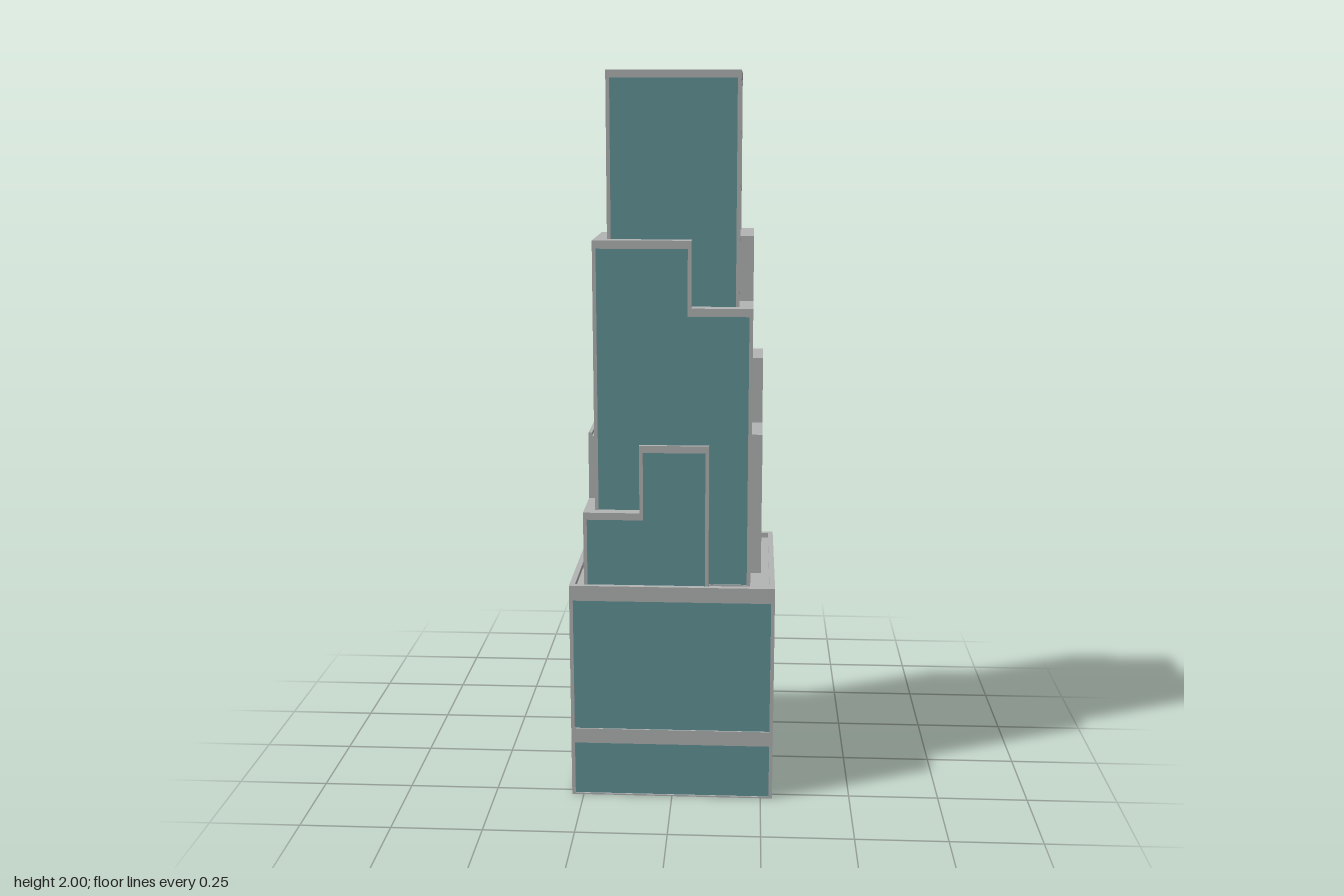
import * as THREE from 'three';

const glass = new THREE.MeshStandardMaterial({ color: 0x629598 });
glass.name = 'teal glass';
const stone = new THREE.MeshStandardMaterial({ color: 0xb2b3b3 });
stone.name = 'grey trim';

const EDGE = 0.01; // width and depth of the trim

export function createModel() {
  const tower = new THREE.Group();
  tower.name = 'steppedTower';

  function add(parent, name, geometry, material) {
    const mesh = new THREE.Mesh(geometry, material);
    mesh.name = name;
    parent.add(mesh);
    return mesh;
  }

  function block(name, x0, x1, y0, y1, z0, z1, material = stone) {
    const g = new THREE.BoxGeometry(x1 - x0, y1 - y0, z1 - z0);
    g.translate((x0 + x1) / 2, (y0 + y1) / 2, (z0 + z1) / 2);
    return add(tower, name, g, material);
  }

  // Outline with one step in its top edge: hL left of us, hR right of it
  function outline({ u0, u1, us, hL, hR, y0 }) {
    const pts = [[u0, y0], [u1, y0], [u1, hR]];
    if (hL !== hR) pts.push([us, hR], [us, hL]);
    pts.push([u0, hL]);
    return pts.map(([x, y]) => new THREE.Vector2(x, y));
  }

  function inset(o, band) {
    return {
      u0: o.u0 + EDGE, u1: o.u1 - EDGE, us: o.us + (o.hL > o.hR ? -EDGE : EDGE),
      hL: o.hL - band, hR: o.hR - band, y0: o.y0 + 0.004,
    };
  }

  // Grey frame with recessed glass; quarter turns 0..3 = front, +x side, back, -x side
  function facade(name, turn, distance, o, panels) {
    const group = new THREE.Group();
    group.name = name;
    group.rotation.y = turn * Math.PI / 2;
    const frame = new THREE.Shape(outline(o));
    for (const p of panels) {
      const pts = outline(p);
      frame.holes.push(new THREE.Path(pts));
      const pane = new THREE.ExtrudeGeometry(new THREE.Shape(pts), { depth: 0.006, bevelEnabled: false });
      add(group, 'glassPanel', pane, glass).position.z = distance - EDGE;
    }
    const g = new THREE.ExtrudeGeometry(frame, { depth: EDGE, bevelEnabled: false });
    add(group, 'trimFrame', g, stone).position.z = distance - EDGE;
    tower.add(group);
  }

  const flat = (w, y0, h) => ({ u0: -w, u1: w, us: 0, hL: h, hR: h, y0 });

  // Raised square rim around a roof
  function rim(name, x, z, width, y0, y1) {
    for (const s of [-1, 1]) {
      const a = s * x, b = s * (x - width), c = s * z, d = s * (z - width);
      block(name, Math.min(a, b), Math.max(a, b), y0, y1, -z, z);
      block(name, -x, x, y0, y1, Math.min(c, d), Math.max(c, d));
    }
  }

  // Base with two rows of glass
  const bx = 0.283, bz = 0.277;
  block('baseBody', -bx + EDGE, bx - EDGE, 0, 0.605, -bz + EDGE, bz - EDGE);
  rim('baseRim', bx, bz, 0.015, 0.58, 0.62);
  for (let t = 0; t < 4; t++) {
    const w = t % 2 ? bz : bx;
    const row = (y0, h) => flat(w - EDGE, y0, h);
    facade('baseFacade', t, t % 2 ? bx : bz, flat(w, 0, 0.62), [row(0.004, 0.157), row(0.2, 0.577)]);
  }

  // Middle tier: high at two opposite corners, low at the other two
  const m = 0.215, mi = m - EDGE;
  block('middleBody', -mi, mi, 0.6, 1.38, -mi, mi);
  block('middleHighCorner', -mi, 0.05, 1.3, 1.56, -0.05, mi);
  block('middleHighCorner', -0.05, mi, 1.3, 1.56, -mi, 0.05);
  for (let t = 0; t < 4; t++) {
    const o = t % 2
      ? { u0: -m, u1: m, us: -0.05, hL: 1.38, hR: 1.56, y0: 0.605 }
      : { u0: -m, u1: m, us: 0.05, hL: 1.56, hR: 1.38, y0: 0.605 };
    facade('middleFacade', t, m, o, [inset(o, 0.022)]);
  }

  // Lower wings wrapped around two opposite corners
  const w = 0.245, wi = w - EDGE;
  block('lowWingCorner', -wi, -0.08, 0.6, 0.82, 0.09, wi);
  block('lowWingFront', -0.09, 0.1, 0.6, 1.0, 0.2, wi);
  block('lowWingSide', -wi, -0.2, 0.6, 1.0, -0.1, 0.09);
  block('highWingCorner', 0, wi, 0.6, 1.2, -wi, -0.07);
  block('highWingBack', -0.095, 0.01, 0.6, 1.01, -wi, -0.2);
  block('highWingSide', 0.2, wi, 0.6, 1.01, -0.08, 0.092);
  const wings = [
    { u0: -w, u1: 0.1, us: -0.09, hL: 0.82, hR: 1.01, y0: 0.605 },
    { u0: -0.092, u1: w, us: 0.07, hL: 1.01, hR: 1.2, y0: 0.605 },
    { u0: -w, u1: 0.095, us: 0, hL: 1.2, hR: 1.01, y0: 0.605 },
    { u0: -0.1, u1: w, us: 0.09, hL: 1.01, hR: 0.82, y0: 0.605 },
  ];
  wings.forEach((o, t) => facade('wingFacade', t, w, o, [inset(o, 0.02)]));

  // Top shaft with a sunken glass roof
  const s = 0.178, si = s - EDGE;
  block('topBody', -si, si, 1.3, 1.98, -si, si);
  block('roofGlass', -si, si, 1.98, 1.986, -si, si, glass);
  rim('topRim', s, s, 0.012, 1.98, 2);
  for (let t = 0; t < 4; t++) {
    const o = flat(s, 1.34, 2);
    facade('topFacade', t, s, o, [inset(o, 0.018)]);
  }

  return tower;
}
